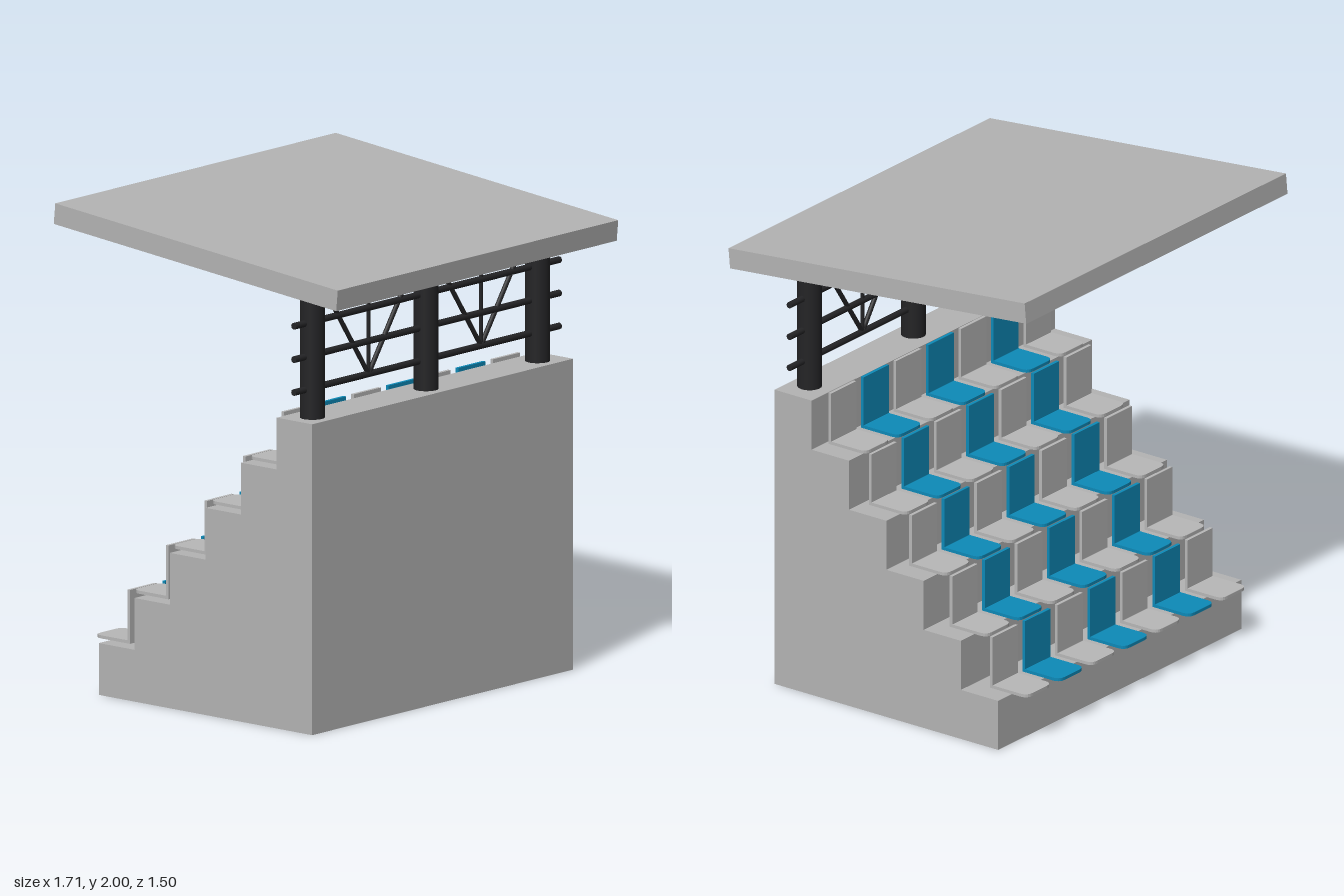
import * as THREE from 'three';

const mat = (name, color) => {
  const m = new THREE.MeshStandardMaterial({ color });
  m.name = name;
  return m;
};

export function createModel() {
  const group = new THREE.Group();
  const concrete = mat('concrete grey', 0xb4b4b4);
  const seatGrey = mat('seat grey', 0xb8b8b8);
  const seatBlue = mat('seat blue', 0x0d8ab8);
  const steel = mat('black steel', 0x242426);

  const add = (name, geometry, material, parent = group) => {
    const mesh = new THREE.Mesh(geometry, material);
    mesh.name = name;
    parent.add(mesh);
    return mesh;
  };

  // Stepped terrace: side outline extruded across the width
  const rise = 0.2125, run = 0.1885, halfDepth = 0.565, width = 1.595;
  const outline = new THREE.Shape();
  outline.moveTo(-halfDepth, 0);
  outline.lineTo(halfDepth, 0);
  for (let i = 0; i < 6; i++) {
    outline.lineTo(halfDepth - i * run, (i + 1) * rise);
    outline.lineTo(i < 5 ? halfDepth - (i + 1) * run : -halfDepth, (i + 1) * rise);
  }
  const terrace = new THREE.ExtrudeGeometry(outline, { depth: width, bevelEnabled: false });
  terrace.translate(0, 0, -width / 2).rotateY(Math.PI / 2);
  add('terrace', terrace, concrete);

  // Seat: pan with rounded front corners and an upright backrest
  const w = 0.0825, len = 0.188, r = 0.035;
  const panShape = new THREE.Shape();
  panShape.moveTo(-w, 0);
  panShape.lineTo(w, 0);
  panShape.lineTo(w, len - r);
  panShape.quadraticCurveTo(w, len, w - r, len);
  panShape.lineTo(-w + r, len);
  panShape.quadraticCurveTo(-w, len, -w, len - r);
  const panGeo = new THREE.ExtrudeGeometry(panShape, { depth: 0.013, bevelEnabled: false, curveSegments: 5 });
  panGeo.rotateX(-Math.PI / 2);
  const backGeo = new THREE.BoxGeometry(2 * w, 0.221, 0.014).translate(0, 0.1105, -0.007);

  // Five rows of seven seats in alternating colours
  for (let row = 0; row < 5; row++) {
    for (let col = 0; col < 7; col++) {
      const seat = new THREE.Group();
      seat.name = 'seat';
      seat.position.set(-0.011 + (col - 3) * 0.213, 0.214 + row * rise, -0.456 + row * 0.204);
      const material = col % 2 ? seatBlue : seatGrey;
      add('seatPan', panGeo, material, seat);
      add('backrest', backGeo, material, seat);
      group.add(seat);
    }
  }

  // Sloping roof slab
  const roof = add('roof', new THREE.BoxGeometry(1.714, 0.086, 1.503), concrete);
  roof.position.y = 1.8875;
  roof.rotation.x = Math.atan2(0.14, 1.505);

  // Straight rod between two points in the plane of the columns
  const frameZ = 0.48;
  const rod = (name, x1, y1, x2, y2, radius, sides = 10) => {
    const length = Math.hypot(x2 - x1, y2 - y1);
    const mesh = add(name, new THREE.CylinderGeometry(radius, radius, length, sides), steel);
    mesh.position.set((x1 + x2) / 2, (y1 + y2) / 2, frameZ);
    mesh.rotation.z = Math.atan2(x1 - x2, y2 - y1);
  };

  // Columns, horizontal rails and W-shaped bracing
  for (const x of [-0.698, -0.003, 0.678]) rod('column', x, 1.27, x, 1.812, 0.05, 24);
  for (const y of [1.395, 1.53, 1.667]) rod('rail', -0.812, y, 0.812, y, 0.0135);
  for (const x of [-0.355, 0.332]) {
    rod('post', x, 1.395, x, 1.805, 0.008);
    for (const side of [-1, 1]) rod('brace', x, 1.395, x + side * 0.28, 1.805, 0.01);
  }

  return group;
}
